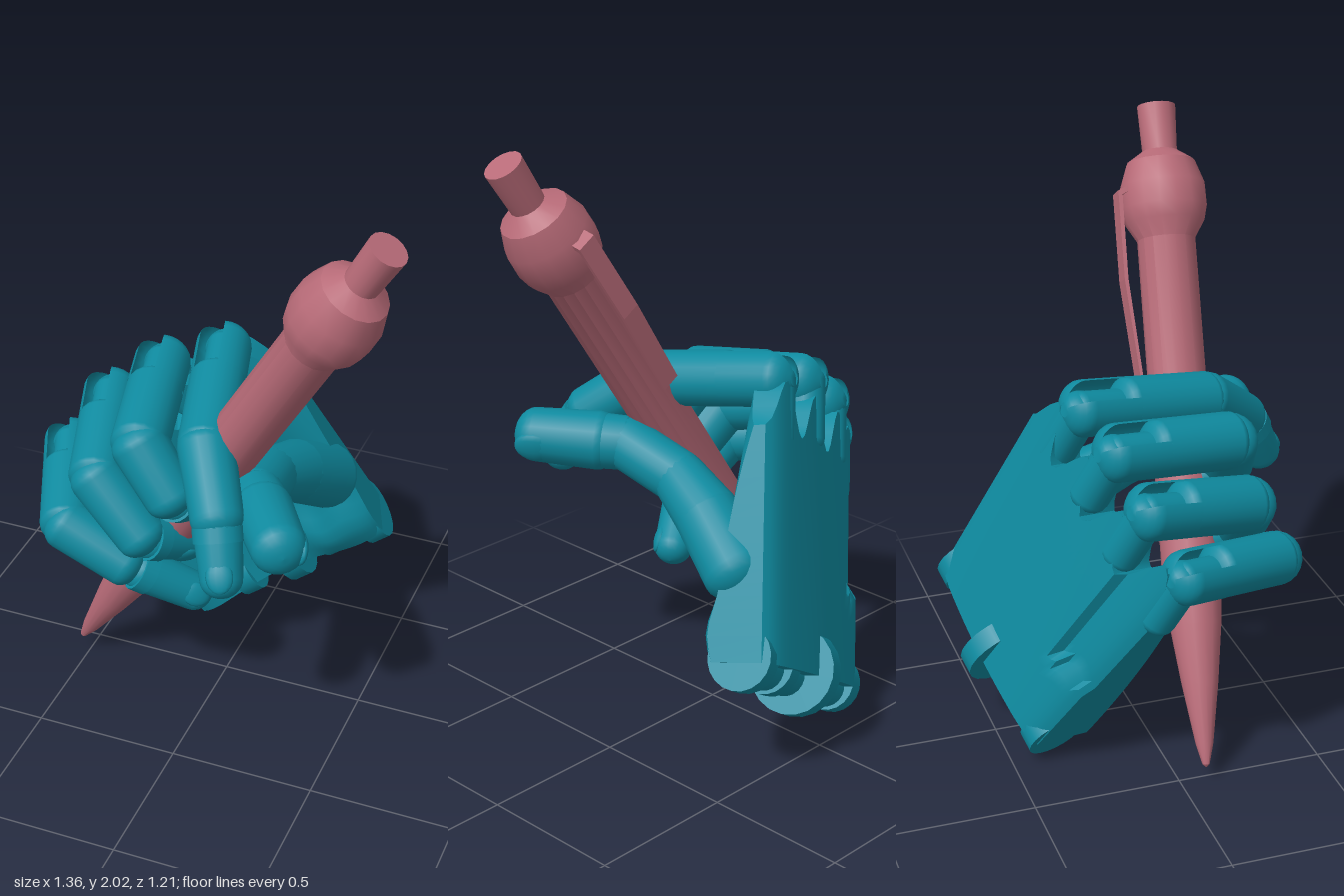
import * as THREE from 'three';
import { toCreasedNormals } from 'three/addons/utils/BufferGeometryUtils.js';

const V = (x, y, z) => new THREE.Vector3(x, y, z);
const UP = V(0, 1, 0);
const teal = new THREE.MeshStandardMaterial({ color: 0x0f8ba0 });
const tealShell = new THREE.MeshStandardMaterial({ color: 0x0f8ba0, side: THREE.DoubleSide });
const rose = new THREE.MeshStandardMaterial({ color: 0xb86b78, side: THREE.DoubleSide });

// Corners of the back of the hand, and its axes
const WP = V(-0.26, 0.05, -0.46), WI = V(0.37, 0.45, -0.605);
const KP = V(-0.67, 0.8, -0.1), KI = V(0.02, 1.26, -0.295);
const along = KI.clone().sub(WI).normalize();
const across = KI.clone().sub(KP).normalize();
const inward = across.clone().cross(along).normalize();

// Point on the hand: s wrist to knuckles, t little finger to index, w depth
function onHand(s, t, w) {
  const a = WP.clone().lerp(WI, t), b = KP.clone().lerp(KI, t);
  return a.lerp(b, s).addScaledVector(inward, w);
}

function add(parent, name, geometry, material = teal) {
  const mesh = new THREE.Mesh(geometry, material);
  mesh.name = name;
  parent.add(mesh);
  return mesh;
}

// Rounded, tapered link from a to b
function link(parent, name, a, b, ra, rb, round = 0.75) {
  const len = a.distanceTo(b), pts = [];
  for (let i = 0; i <= 6; i++) {
    const q = (i / 6) * Math.PI / 2;
    pts.push(new THREE.Vector2(ra * Math.sin(q), -ra * round * Math.cos(q)));
  }
  for (let i = 0; i <= 6; i++) {
    const q = (i / 6) * Math.PI / 2;
    pts.push(new THREE.Vector2(rb * Math.cos(q), len + rb * round * Math.sin(q)));
  }
  const mesh = add(parent, name, new THREE.LatheGeometry(pts, 20));
  mesh.position.copy(a);
  mesh.quaternion.setFromUnitVectors(UP, b.clone().sub(a).normalize());
}

// Rotate a mesh so its y follows dir and its z leans towards face
function aim(mesh, dir, face) {
  const y = dir.clone().normalize();
  const x = y.clone().cross(face).normalize(), z = x.clone().cross(y);
  mesh.quaternion.setFromRotationMatrix(new THREE.Matrix4().makeBasis(x, y, z));
  return z;
}

// Knuckle shell slotted along its outer side
function slottedShell(parent, a, b, r) {
  const pts = [];
  for (let i = 1; i <= 6; i++) {
    const q = (i / 6) * Math.PI / 2;
    pts.push(new THREE.Vector2(r * Math.sin(q), -r * 0.75 * Math.cos(q)));
  }
  pts.push(new THREE.Vector2(r, a.distanceTo(b)));
  const mesh = add(parent, 'knuckleShell', new THREE.LatheGeometry(pts, 20, 0.5, 2 * Math.PI - 1), tealShell);
  mesh.position.copy(a);
  aim(mesh, b.clone().sub(a), along);
}

// Disc centred on p, facing along an axis
function disc(parent, name, p, axis, r, width) {
  const mesh = add(parent, name, new THREE.CylinderGeometry(r, r, width, 20));
  mesh.position.copy(p);
  mesh.quaternion.setFromUnitVectors(UP, axis.clone().normalize());
}

// Fingernail lying on the last link
function nail(parent, a, b, r, face) {
  const mesh = add(parent, 'fingernail', new THREE.SphereGeometry(1, 14, 10));
  mesh.scale.set(r * 0.6, r * 0.75, r * 0.25);
  const z = aim(mesh, b.clone().sub(a), face);
  mesh.position.copy(b).lerp(a, 0.06).addScaledVector(z, r * 0.78);
}

// Palm: cross-sections from wrist to knuckles, with a prong behind each finger
function palmGeometry() {
  const rings = 18, m = 41, n = 2 * m, pos = [], idx = [];
  const reach = t => 0.93 + 0.09 * Math.cos(2 * Math.PI * (t - 0.1) / 0.26);
  for (let i = 0; i <= rings; i++) {
    const k = i / rings;
    for (let j = 0; j < n; j++) {
      const front = j >= m;
      const t = (front ? n - 1 - j : j) / (m - 1), s = 0.03 + k * (reach(t) - 0.03);
      const edge = Math.pow(Math.abs(2 * t - 1), 10) * 0.03;
      const hollow = 0.1 * Math.sin(Math.PI * t) * Math.sin(Math.PI * Math.min(1, k * 0.8 + 0.2));
      // raised heel below the thumb
      const heel = 0.07 * Math.exp(-Math.pow((t - 0.8) / 0.22, 2) - Math.pow((k - 0.12) / 0.13, 2));
      const thick = 0.28 - 0.12 * k * k - 0.06 * t - hollow + heel;
      const step = t < 0.22 && s > 0.38 ? 0.03 : 0;
      const bow = 0.02 * Math.sin(Math.PI * t);
      const p = onHand(s, t, front ? thick - edge : edge + step - bow);
      pos.push(p.x, p.y, p.z);
    }
  }
  for (let i = 0; i < rings; i++) for (let j = 0; j < n; j++) {
    const a = i * n + j, b = i * n + (j + 1) % n;
    idx.push(a, a + n, b, b, a + n, b + n);
  }
  // end caps, back edge to front edge
  const top = rings * n;
  for (let j = 0; j < m - 1; j++) {
    const a = j, b = j + 1, c = n - 1 - j, d = n - 2 - j;
    idx.push(a, b, c, b, d, c);
    idx.push(top + a, top + c, top + b, top + b, top + c, top + d);
  }
  const g = new THREE.BufferGeometry();
  g.setAttribute('position', new THREE.Float32BufferAttribute(pos, 3));
  g.setIndex(idx);
  return toCreasedNormals(g, 0.7);
}

function buildFinger(hand, f) {
  const g = new THREE.Group();
  g.name = f.name;
  hand.add(g);
  const [k, p, d, tip] = f.joints.map(c => V(...c)), r = f.r;
  const slotEnd = k.clone().lerp(p, 0.36);
  link(g, 'knuckleBone', k.clone().addScaledVector(along, -0.2), k, r * 0.7, r * 0.7);
  slottedShell(g, k, slotEnd, r);
  link(g, 'proximalCore', k, slotEnd, r * 0.6, r * 0.6);
  link(g, 'proximalLink', slotEnd, p, r, r, 0.5);
  link(g, 'middleLink', p, d, r, r * 0.92);
  // collar and fingertip
  const end = d.clone().lerp(tip, 0.25);
  disc(g, 'fingertipCollar', end, tip.clone().sub(d), r * 0.88, 0.05);
  link(g, 'fingertip', end, tip, r * 0.84, r * 0.74, 0.9);
  nail(g, d, tip, r * 0.78, V(...f.face));
}

function buildPen() {
  const pen = new THREE.Group();
  pen.name = 'pen';
  const profile = [[0, 0], [0.012, 0.01], [0.03, 0.08], [0.062, 0.28], [0.088, 0.48], [0.1, 0.66],
    [0.1, 1.79], [0.136, 1.85], [0.148, 1.9], [0.146, 1.98], [0.118, 2.06], [0.06, 2.1], [0.066, 2.26], [0, 2.26]];
  const body = new THREE.LatheGeometry(profile.map(p => new THREE.Vector2(...p)), 16);
  const tip = V(-0.53, 0.04, 0.085), top = V(0.62, 1.965, 0.295);
  const mesh = add(pen, 'penBody', toCreasedNormals(body.toNonIndexed(), 0.6), rose);
  mesh.position.copy(tip);
  mesh.quaternion.setFromUnitVectors(UP, top.clone().sub(tip).normalize());

  // thin bowed clip behind the barrel
  const shape = new THREE.Shape();
  [[0, 0], [0.01, 0], [0.005, 0.34], [0.025, 0.63], [0.1, 0.665], [0.1, 0.68], [0.012, 0.645], [-0.008, 0.34]]
    .forEach((p, i) => i ? shape.lineTo(...p) : shape.moveTo(...p));
  const clip = add(pen, 'penClip', new THREE.ExtrudeGeometry(shape, { depth: 0.07, bevelEnabled: false }), rose);
  const y = V(0.34, 0.56, 0.02).normalize();
  const side = V(-0.86, 0.51, 0);
  const out = y.clone().cross(side).normalize();
  side.crossVectors(out, y);
  clip.quaternion.setFromRotationMatrix(new THREE.Matrix4().makeBasis(out, y, side));
  clip.position.set(0.13, 1.18, 0.065).addScaledVector(side, -0.035);
  return pen;
}

export function createModel() {
  const model = new THREE.Group();
  const hand = new THREE.Group();
  hand.name = 'hand';
  model.add(hand, buildPen());
  add(hand, 'palm', palmGeometry());

  // Fingers: knuckle, middle joint, end joint, tip
  const fingers = [
    { name: 'indexFinger', r: 0.095, face: [0.3, 0.4, 1],
      joints: [[-0.09, 1.205, -0.2], [0.035, 1.12, 0.27], [0.145, 0.98, 0.45], [0.195, 0.82, 0.54]] },
    { name: 'middleFinger', r: 0.097, face: [0.3, -0.6, 0.6],
      joints: [[-0.295, 1.13, -0.15], [-0.2, 1.07, 0.27], [-0.075, 0.92, 0.31], [-0.04, 0.84, 0.18]] },
    { name: 'ringFinger', r: 0.095, face: [0.5, -0.6, 0.6],
      joints: [[-0.47, 0.995, -0.1], [-0.355, 0.91, 0.28], [-0.18, 0.74, 0.32], [-0.09, 0.65, 0.17]] },
    { name: 'littleFinger', r: 0.09, face: [0.7, 0.2, 0.6],
      joints: [[-0.595, 0.81, -0.02], [-0.44, 0.74, 0.35], [-0.23, 0.63, 0.34], [-0.03, 0.48, 0.22]] },
  ];
  fingers.forEach(f => buildFinger(hand, f));

  // Thumb
  const thumb = new THREE.Group();
  thumb.name = 'thumb';
  hand.add(thumb);
  const t = [[0.24, 0.67, -0.34], [0.19, 0.79, -0.16], [0.16, 0.87, 0], [0.19, 0.94, 0.22], [0.365, 0.95, 0.48]].map(c => V(...c));
  link(thumb, 'thumbBase', t[0], t[1], 0.117, 0.11);
  link(thumb, 'thumbLower', t[1], t[2], 0.11, 0.092);
  link(thumb, 'thumbMiddle', t[2], t[3], 0.092, 0.092);
  const collar = t[3].clone().lerp(t[4], 0.3);
  link(thumb, 'thumbEndLink', t[3], collar, 0.092, 0.095, 0.3);
  link(thumb, 'thumbTip', collar, t[4], 0.1, 0.092);
  nail(thumb, collar, t[4], 0.092, V(0.8, -0.2, -0.3));

  // Wrist fins standing across the hinge, and the bar through them
  for (const [at, depth, r] of [[0.05, 0.1, 0.1], [0.26, 0.13, 0.1], [0.5, 0.08, 0.15], [0.72, 0.1, 0.1], [0.95, 0.11, 0.11]]) {
    disc(hand, 'wristFin', onHand(0.05, at, depth), across, r, 0.07);
  }
  link(hand, 'wristBar', onHand(0.03, 0.1, 0.1), onHand(0.03, 0.9, 0.1), 0.07, 0.07);
  return model;
}
